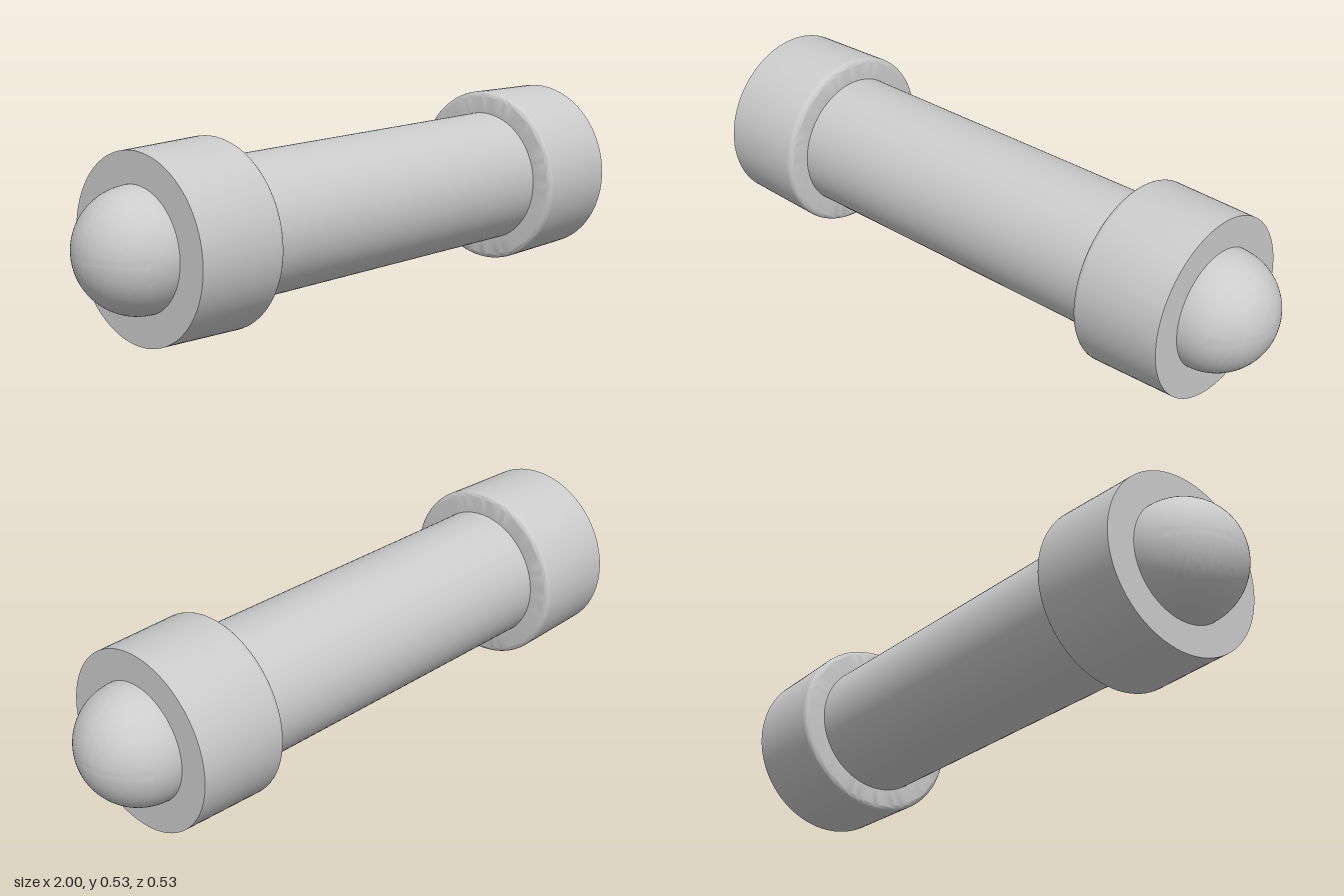
import * as THREE from 'three';
import { toCreasedNormals } from 'three/addons/utils/BufferGeometryUtils.js';

const material = new THREE.MeshStandardMaterial({ color: 0xcccccc });
const AXIS_HEIGHT = 0.266;

// Turns [radius, distance along x] points around the x axis.
function turned(name, profile) {
  const points = profile.map(([r, x]) => new THREE.Vector2(r, x));
  const lathe = new THREE.LatheGeometry(points, 96).rotateZ(-Math.PI / 2);
  const mesh = new THREE.Mesh(toCreasedNormals(lathe, 0.7), material);
  mesh.name = name;
  return mesh;
}

// Quarter arc from angle a to angle b, in [radius, x] space.
function arc(cr, cx, radius, a, b, steps) {
  return Array.from({ length: steps + 1 }, (_, i) => {
    const t = a + ((b - a) * i) / steps;
    return [Math.max(0, cr + radius * Math.cos(t)), cx + radius * Math.sin(t)];
  });
}

// Collar with a rounded inner rim, a slight taper and a crisp outer face.
function collar() {
  return turned('collar', [
    [0.19, 0.555],
    ...arc(0.25, 0.571, 0.016, -Math.PI / 2, 0, 6),
    [0.26, 0.83],
    [0, 0.83],
  ]);
}

// Domed end button.
function endDome() {
  return turned('endDome', arc(0, 0.828, 0.172, 0, Math.PI / 2, 28));
}

export function createModel() {
  const model = new THREE.Group();
  model.name = 'roundedBar';

  const shaft = turned('shaft', [[0.2, -0.6], [0.2, 0.6]]);
  model.add(shaft);

  // Matching ends, the second turned half way round.
  for (const [name, angle] of [['leftEnd', 0], ['rightEnd', Math.PI]]) {
    const end = new THREE.Group();
    end.name = name;
    end.add(collar(), endDome());
    end.rotation.y = angle;
    model.add(end);
  }

  for (const part of model.children) part.position.y = AXIS_HEIGHT;
  return model;
}
